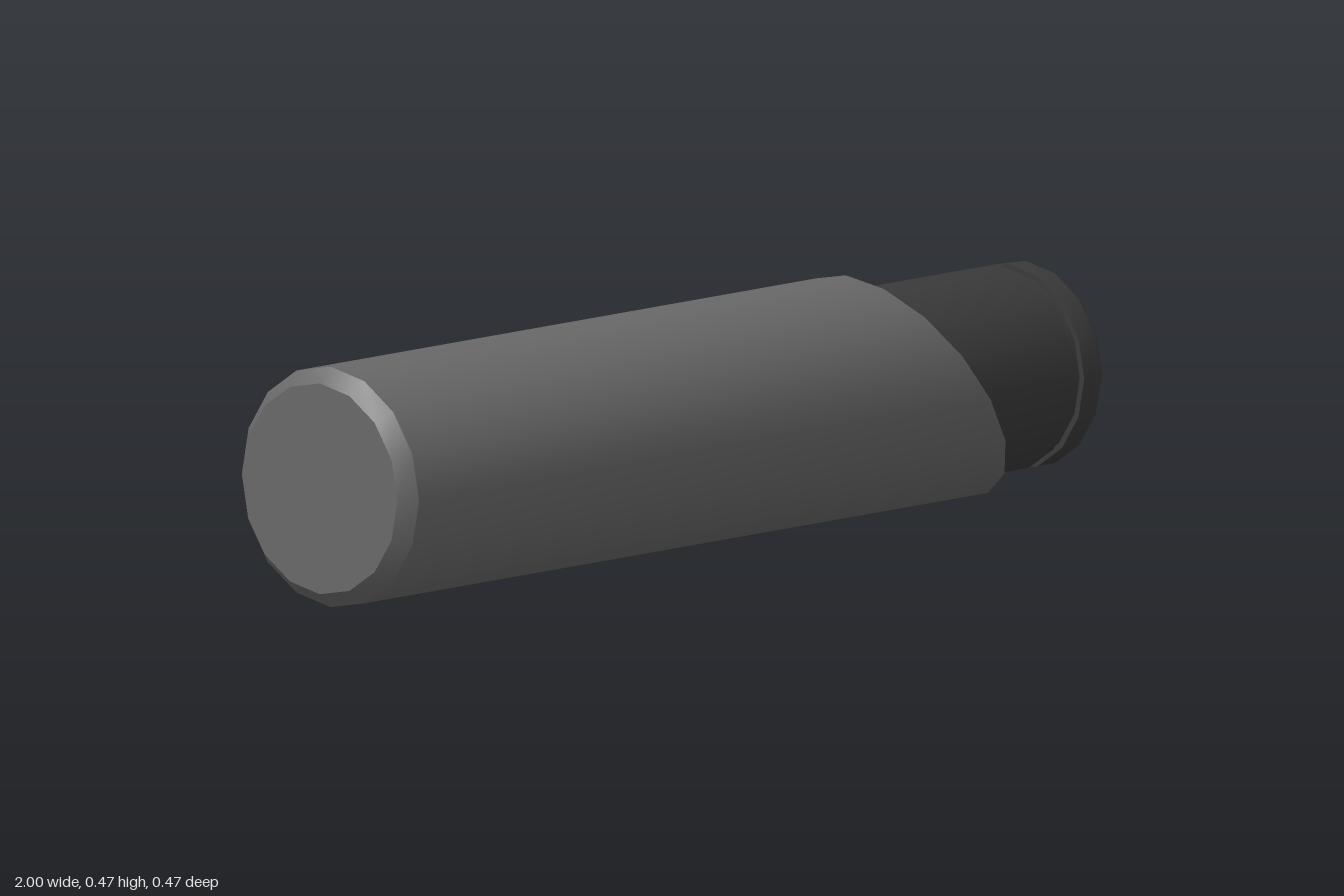
import * as THREE from 'three';
import { toCreasedNormals } from 'three/addons/utils/BufferGeometryUtils.js';

const SIDES = 16;
const RADIUS = 0.235;

// Turn a profile of [position along x, radius] pairs around the x axis.
function turned(name, profile, color, reshape) {
  const points = profile.map(([x, r]) => new THREE.Vector2(r, x));
  const geometry = new THREE.LatheGeometry(points, SIDES);
  geometry.rotateZ(-Math.PI / 2);
  if (reshape) reshape(geometry.attributes.position);
  const mesh = new THREE.Mesh(
    toCreasedNormals(geometry, 0.6),
    new THREE.MeshStandardMaterial({ color })
  );
  mesh.name = name;
  return mesh;
}

export function createModel() {
  const group = new THREE.Group();
  group.name = 'slantedTube';

  // Outer sleeve: chamfered closed end, slanted open end
  const cutX = 0.632;
  const slope = 0.67;
  group.add(turned('outerSleeve', [
    [-1, 0], [-1, 0.206], [-0.97, RADIUS], [cutX, RADIUS], [cutX, 0.195],
  ], 0x686868, (position) => {
    for (let i = 0; i < position.count; i++) {
      if (position.getX(i) > 0) position.setX(i, cutX - slope * position.getY(i));
    }
  }));

  // Inner tube: groove near the mouth, chamfered lip, hollow bore
  group.add(turned('innerTube', [
    [0.4, 0.201], [0.905, 0.201], [0.905, 0.189], [0.93, 0.189], [0.93, 0.201],
    [0.978, 0.201], [1, 0.182], [1, 0.155], [0.45, 0.155],
  ], 0x3a3a3a));

  // Floor of the bore
  group.add(turned('boreFloor', [[0.45, 0.156], [0.45, 0]], 0x686868));

  group.position.y = RADIUS;
  return group;
}
